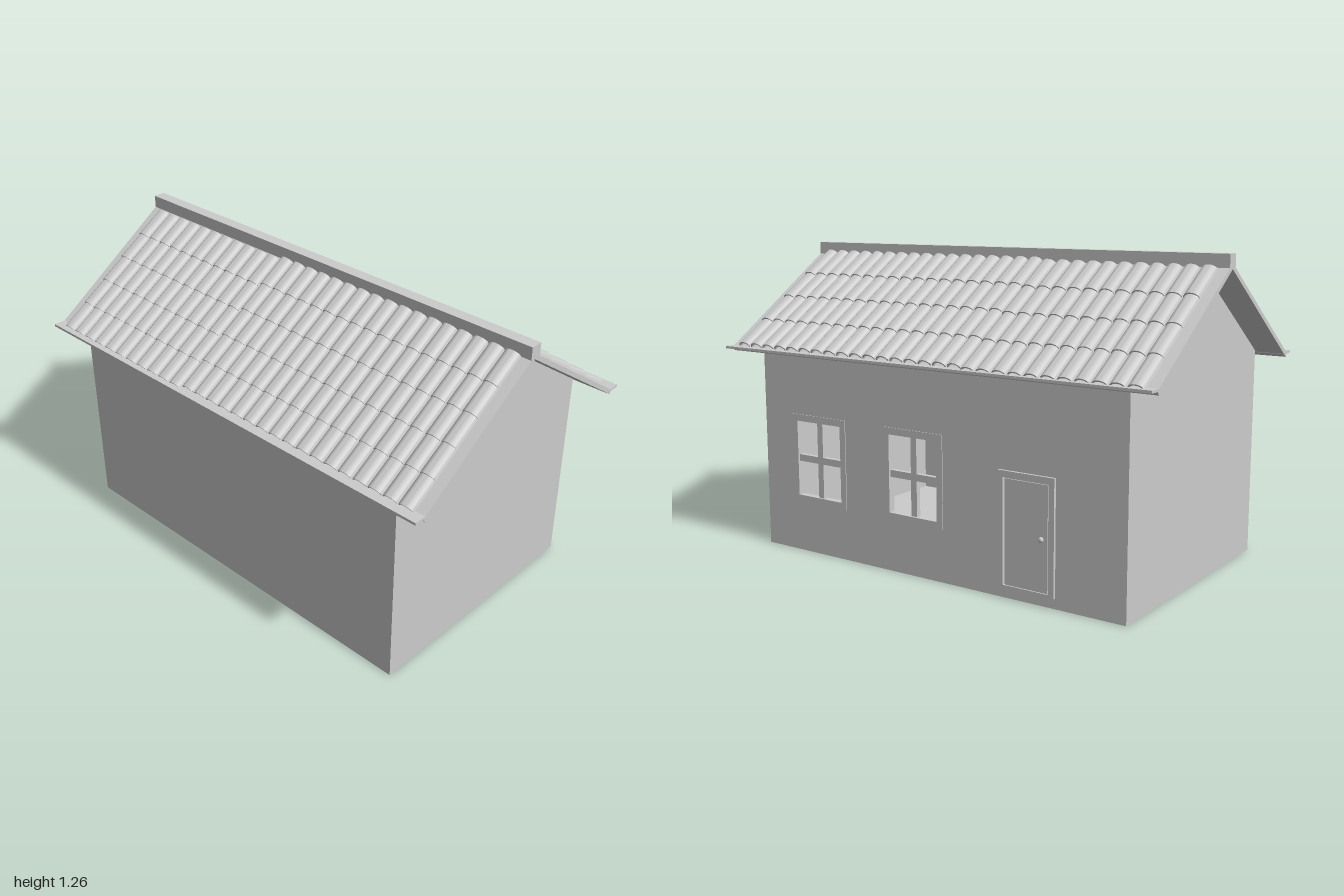
import * as THREE from 'three';
import { toCreasedNormals } from 'three/addons/utils/BufferGeometryUtils.js';

const grey = new THREE.MeshStandardMaterial({ color: 0xcccccc });
grey.name = 'plain grey';

const X0 = -0.885, X1 = 0.845, Z0 = -0.54, Z1 = 0.52; // wall footprint
const WALL_TOP = 0.845, BASE = 0.035, T = 0.03;

function add(parent, name, geometry, x = 0, y = 0, z = 0) {
  const mesh = new THREE.Mesh(geometry, grey);
  mesh.name = name;
  mesh.position.set(x, y, z);
  parent.add(mesh);
  return mesh;
}

// Box given by its two opposite corners
function block(parent, name, x0, x1, y0, y1, z0, z1) {
  return add(parent, name, new THREE.BoxGeometry(x1 - x0, y1 - y0, z1 - z0),
    (x0 + x1) / 2, (y0 + y1) / 2, (z0 + z1) / 2);
}

const rect = (Type, x0, x1, y0, y1) => new Type([
  new THREE.Vector2(x0, y0), new THREE.Vector2(x1, y0),
  new THREE.Vector2(x1, y1), new THREE.Vector2(x0, y1)]);

// Upright rectangular panel with rectangular holes
function panel(parent, name, [x0, x1, y0, y1], holes, z, depth) {
  const shape = rect(THREE.Shape, x0, x1, y0, y1);
  shape.holes = holes.map((h) => rect(THREE.Path, ...h));
  return add(parent, name, new THREE.ExtrudeGeometry(shape, { depth, bevelEnabled: false }), 0, 0, z);
}

// One slope, built facing +z: sloping board, eave board and barrel tiles
function roofSlope(name, rows, wide) {
  const side = new THREE.Group();
  side.name = name;
  const slope = new THREE.Group();
  slope.name = 'slope';
  slope.position.y = 1.215;
  slope.rotation.x = Math.atan(0.68);
  side.add(slope);
  block(slope, 'roofBoard', -1, 1, -0.009, 0.009, 0.01, 0.685);
  block(side, 'eaveBoard', -1, 1, 0.835, 0.845, 0.54, 0.61);

  const columns = 28, pitch = 1.92 / columns;
  const start = 0.035, step = 0.645 / rows, length = step + 0.012;
  const arch = new THREE.Shape();
  arch.absellipse(0, 0, 0.0325, 0.024, 0, Math.PI, false);
  arch.absellipse(0, 0, 0.0265, 0.018, Math.PI, 0, true);
  const tile = toCreasedNormals(new THREE.ExtrudeGeometry(arch,
    { depth: length, bevelEnabled: false, curveSegments: 8 }), 0.7);
  for (let c = 0; c < columns; c++) {
    const x = -0.96 + pitch * (c + 0.5);
    // Tiles on one part of the roof are laid slightly higher
    const shift = x * wide > -0.18 ? -0.012 : 0;
    for (let r = 0; r < rows; r++) {
      const m = add(slope, 'roofTile', tile, x, 0.007, start + r * step + shift);
      m.rotation.x = -0.006 / length;
    }
  }
  return side;
}

export function createModel() {
  const house = new THREE.Group();
  house.name = 'house';

  // Hollow walls on a floor slab
  const windows = [[0.40, 0.69, 0.21, 0.58], [-0.09, 0.20, 0.21, 0.58]];
  block(house, 'floorSlab', X0, X1, 0, BASE, Z0, Z1);
  block(house, 'frontWall', X0, X1, BASE, WALL_TOP, Z1 - T, Z1);
  block(house, 'leftWall', X1 - T, X1, BASE, WALL_TOP, Z0 + T, Z1 - T);
  block(house, 'rightWall', X0, X0 + T, BASE, WALL_TOP, Z0 + T, Z1 - T);
  panel(house, 'backWall', [X0, X1, BASE, WALL_TOP], windows, Z0, T);

  // Gable prism under the roof
  const gable = new THREE.Shape([
    new THREE.Vector2(-Z1, WALL_TOP), new THREE.Vector2(-Z0, WALL_TOP), new THREE.Vector2(0, 1.2)]);
  const gableMesh = add(house, 'gable',
    new THREE.ExtrudeGeometry(gable, { depth: X1 - X0, bevelEnabled: false }), X0, 0, 0);
  gableMesh.rotation.y = Math.PI / 2;

  // Four-pane window frames in the open holes
  const bar = 0.028;
  for (const [x0, x1, y0, y1] of windows) {
    const w = (x1 - x0 - 3 * bar) / 2, h = (y1 - y0 - 3 * bar) / 2;
    const panes = [];
    for (const i of [0, 1]) for (const j of [0, 1]) {
      const px = x0 + bar + i * (w + bar), py = y0 + bar + j * (h + bar);
      panes.push([px, px + w, py, py + h]);
    }
    panel(house, 'windowCross', [x0, x1, y0, y1], panes, Z0 + 0.006, 0.02);
    panel(house, 'windowFrame', [x0, x1, y0, y1],
      [[x0 + bar, x1 - bar, y0 + bar, y1 - bar]], Z0 - 0.003, 0.03);
  }

  // Door with frame, leaf and knob
  const d = [-0.595, -0.35, 0.04, 0.485];
  panel(house, 'doorFrame', d, [[d[0] + 0.024, d[1] - 0.024, d[2] + 0.012, d[3] - 0.024]], Z0 - 0.011, 0.011);
  block(house, 'doorLeaf', d[0] + 0.03, d[1] - 0.03, d[2] + 0.012, d[3] - 0.03, Z0 - 0.005, Z0);
  const knob = add(house, 'doorKnob', new THREE.SphereGeometry(0.011, 16, 12), -0.538, 0.25, Z0 - 0.007);
  knob.scale.z = 0.8;

  // Two tiled slopes and the ridge beam
  house.add(roofSlope('frontRoof', 5, 1));
  const back = roofSlope('backRoof', 4, -1);
  back.rotation.y = Math.PI;
  house.add(back);
  block(house, 'ridgeBeam', -1, 1, 1.205, 1.26, -0.025, 0.025);

  return house;
}
